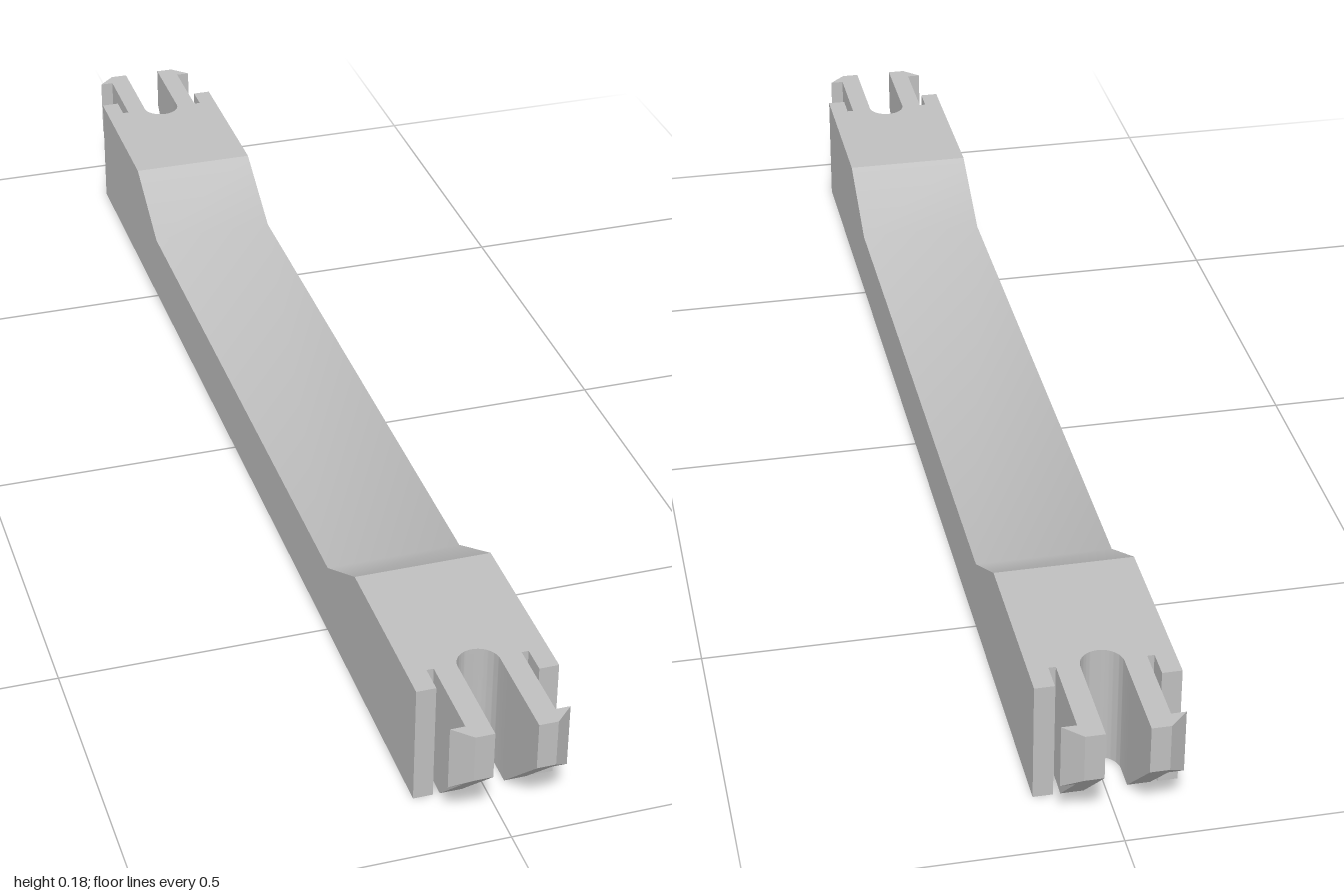
import * as THREE from 'three';
import { toCreasedNormals } from 'three/addons/utils/BufferGeometryUtils.js';

const HEIGHT = 0.182, WAIST = 0.11, HALF_WIDTH = 0.1;
const Z_BLOCK = 0.625, Z_WAIST = 0.5, Z_FACE = 0.89, Z_TIP = 1;

const grey = new THREE.MeshStandardMaterial({ color: 0xbfbfbf });
grey.name = 'plain grey';

function addMesh(parent, name, geometry) {
  const mesh = new THREE.Mesh(geometry, grey);
  mesh.name = name;
  parent.add(mesh);
}

// Extrudes a plan outline (x, z) upward from y = 0 to the full height
function extrudePlan(shape) {
  const geo = new THREE.ExtrudeGeometry(shape, { depth: HEIGHT, bevelEnabled: false, curveSegments: 24 });
  return geo.rotateX(Math.PI / 2).translate(0, HEIGHT, 0);
}

// Low middle beam with ramps rising to the end blocks, profile in (z, y)
function beamGeometry() {
  const shape = new THREE.Shape([
    [-Z_BLOCK, 0], [Z_BLOCK, 0], [Z_BLOCK, HEIGHT], [Z_WAIST, WAIST],
    [-Z_WAIST, WAIST], [-Z_BLOCK, HEIGHT],
  ].map(([z, y]) => new THREE.Vector2(z, y)));
  const geo = new THREE.ExtrudeGeometry(shape, { depth: 2 * HALF_WIDTH, bevelEnabled: false });
  geo.translate(0, 0, -HALF_WIDTH).rotateY(-Math.PI / 2);
  return toCreasedNormals(geo, 0.7);
}

// End block with a round-bottomed centre slot and two narrow relief slots
function blockGeometry() {
  const right = [[0.1, Z_BLOCK], [0.1, Z_FACE], [0.072, Z_FACE], [0.072, 0.85],
    [0.062, 0.85], [0.062, Z_FACE], [0.03, Z_FACE], [0.03, 0.855]];
  const shape = new THREE.Shape();
  shape.moveTo(-HALF_WIDTH, Z_BLOCK);
  right.forEach(([x, z]) => shape.lineTo(x, z));
  shape.absarc(0, 0.855, 0.03, 0, -Math.PI, true);
  right.slice(1, 7).reverse().forEach(([x, z]) => shape.lineTo(-x, z));
  shape.closePath();
  return toCreasedNormals(extrudePlan(shape), 0.5);
}

// Hooked prong whose underside slopes up at 45 degrees toward the tip
function prongGeometry(side) {
  const shape = new THREE.Shape([
    [0.03, Z_FACE], [0.062, Z_FACE], [0.062, 0.975], [0.083, 0.975],
    [0.057, Z_TIP], [0.03, Z_TIP],
  ].map(([x, z]) => new THREE.Vector2(x * side, z)));
  const geo = extrudePlan(shape);
  const pos = geo.attributes.position;
  for (let i = 0; i < pos.count; i++) {
    if (pos.getY(i) < 0.001) pos.setY(i, Math.max(0, pos.getZ(i) - Z_FACE));
  }
  geo.computeVertexNormals();
  return geo;
}

export function createModel() {
  const model = new THREE.Group();
  model.name = 'clipBar';
  addMesh(model, 'middleBeam', beamGeometry());

  // The same clip end at the front and, turned around, at the back
  for (const [name, turn] of [['frontEnd', 0], ['backEnd', Math.PI]]) {
    const end = new THREE.Group();
    end.name = name;
    end.rotation.y = turn;
    addMesh(end, 'endBlock', blockGeometry());
    addMesh(end, 'leftProng', prongGeometry(1));
    addMesh(end, 'rightProng', prongGeometry(-1));
    model.add(end);
  }
  return model;
}
